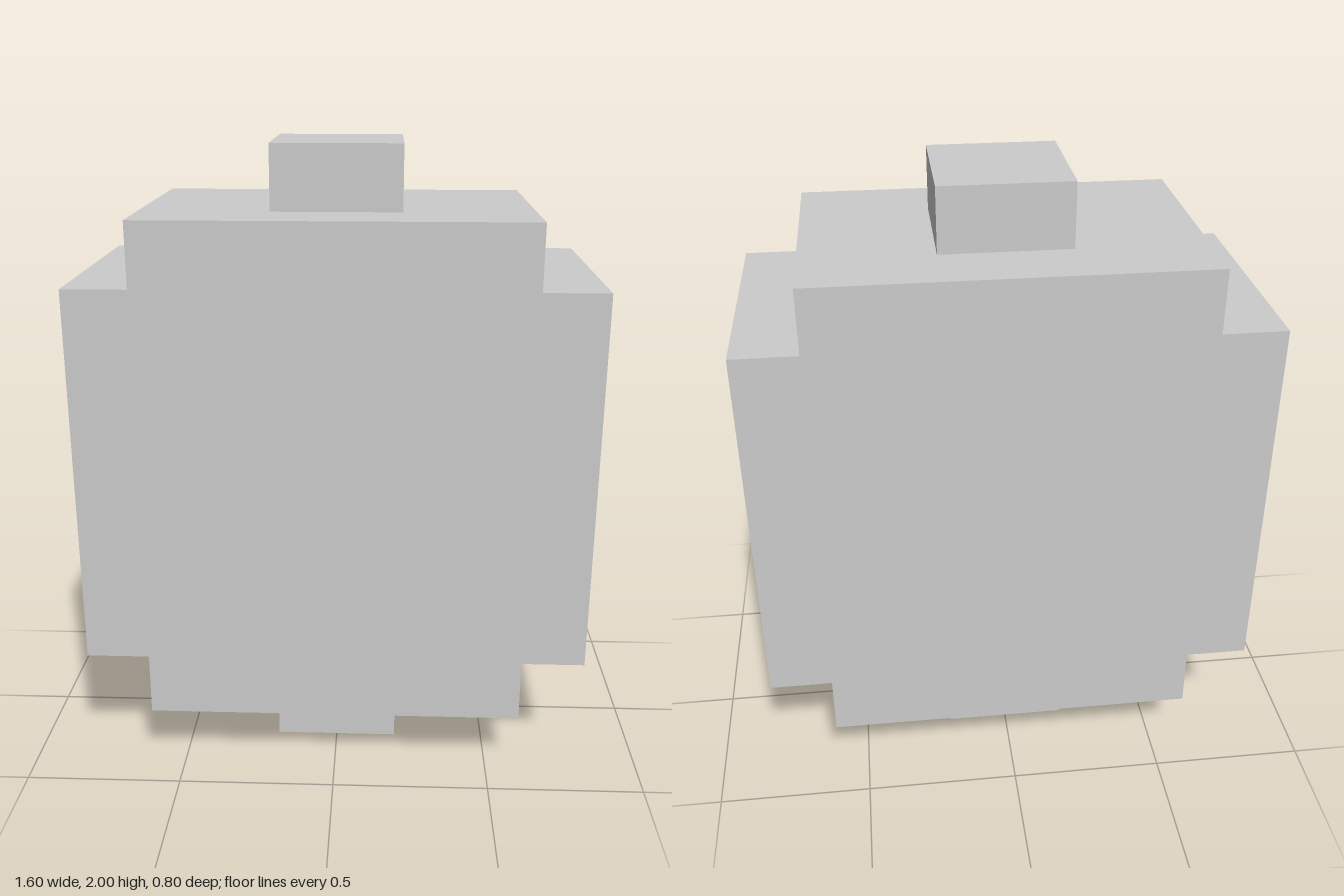
import * as THREE from 'three';

export function createModel() {
  const group = new THREE.Group();
  const material = new THREE.MeshStandardMaterial({ color: 0xcccccc, flatShading: true });

  // Body: stepped-corner outline, extruded front to back
  const w = 0.8, h = 0.8, step = 0.2, depth = 0.8;
  const outline = [
    [w - step, -h], [w - step, -h + step], [w, -h + step],
    [w, h - step], [w - step, h - step], [w - step, h],
    [step - w, h], [step - w, h - step], [-w, h - step],
    [-w, step - h], [step - w, step - h], [step - w, -h],
  ].map(([x, y]) => new THREE.Vector2(x, y));
  const bodyGeometry = new THREE.ExtrudeGeometry(new THREE.Shape(outline), {
    depth, bevelEnabled: false,
  });
  bodyGeometry.translate(0, 1, -depth / 2);
  const body = new THREE.Mesh(bodyGeometry, material);
  body.name = 'body';
  group.add(body);

  // Square pegs centred on the top and bottom
  for (const [name, y] of [['topPeg', 1.9], ['bottomPeg', 0.1]]) {
    const peg = new THREE.Mesh(new THREE.BoxGeometry(0.4, 0.2, 0.4), material);
    peg.position.y = y;
    peg.name = name;
    group.add(peg);
  }

  return group;
}
